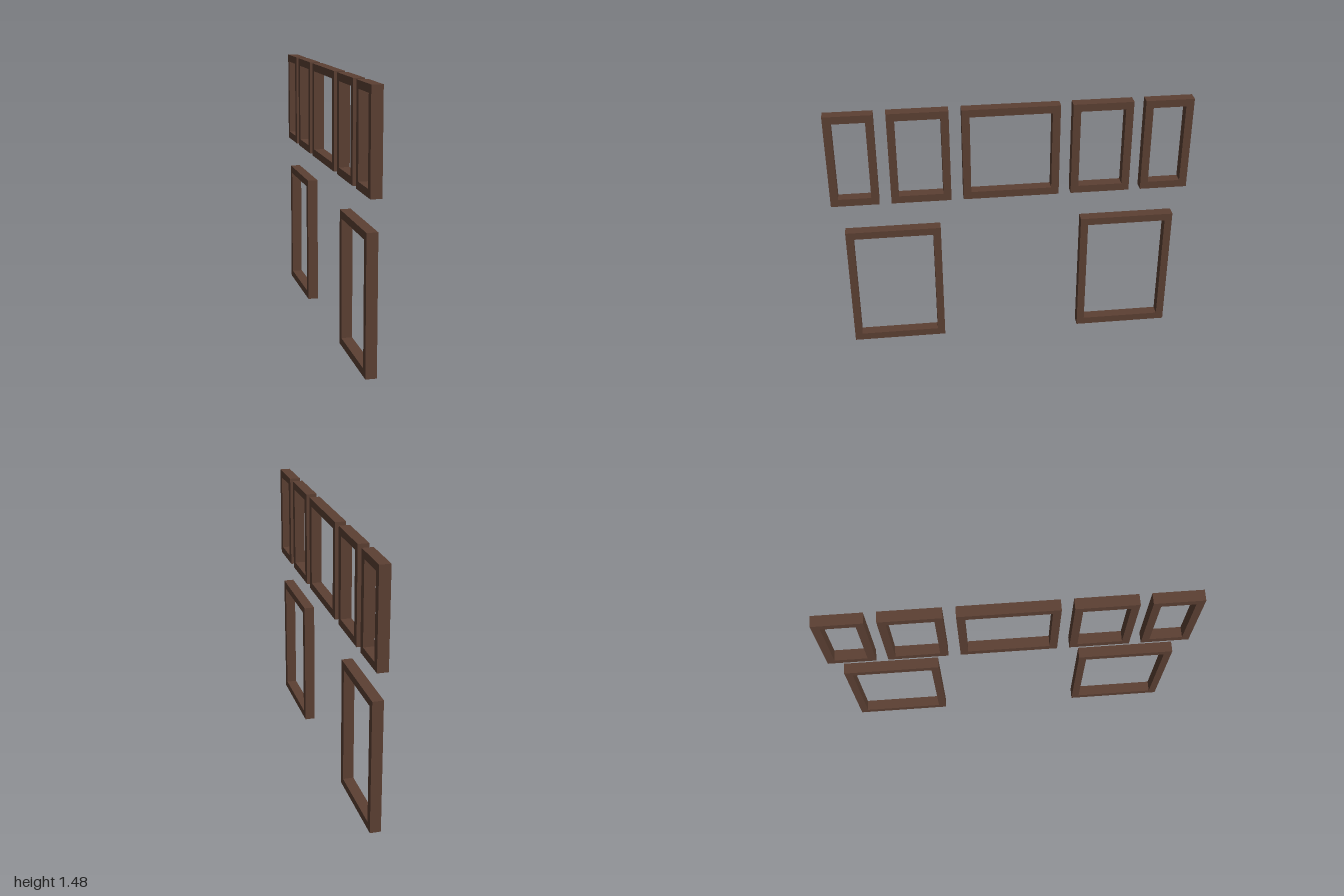
import * as THREE from 'three';

const DEPTH = 0.06;  // frame thickness along x
const BAR = 0.043;   // width of the frame members

const rect = (Type, w, h) => {
  const p = new Type();
  p.moveTo(-w / 2, -h / 2);
  p.lineTo(w / 2, -h / 2);
  p.lineTo(w / 2, h / 2);
  p.lineTo(-w / 2, h / 2);
  p.closePath();
  return p;
};

// Rectangular open frame standing in the y-z plane
function frame(name, z0, z1, y0, y1, material) {
  const w = z1 - z0, h = y1 - y0;
  const shape = rect(THREE.Shape, w, h);
  shape.holes.push(rect(THREE.Path, w - 2 * BAR, h - 2 * BAR));
  const geometry = new THREE.ExtrudeGeometry(shape, { depth: DEPTH, bevelEnabled: false });
  geometry.translate(0, 0, -DEPTH / 2);
  geometry.rotateY(Math.PI / 2);
  const mesh = new THREE.Mesh(geometry, material);
  mesh.name = name;
  mesh.position.set(0, (y0 + y1) / 2, (z0 + z1) / 2);
  return mesh;
}

export function createModel() {
  const group = new THREE.Group();
  group.name = 'windowFrames';
  const wood = new THREE.MeshStandardMaterial({ color: 0x5c4033 });

  // Middle window of the upper row
  group.add(frame('upperMiddleFrame', -0.267, 0.267, 0.932, 1.476, wood));

  // Windows mirrored front and back: name, near z, far z, bottom, top
  const pairs = [
    ['UpperInnerFrame', 0.335, 0.667, 0.932, 1.476],
    ['UpperOuterFrame', 0.733, 1.0, 0.932, 1.476],
    ['LowerFrame', 0.402, 0.938, 0, 0.753],
  ];
  for (const [name, near, far, y0, y1] of pairs) {
    group.add(frame('front' + name, near, far, y0, y1, wood));
    group.add(frame('back' + name, -far, -near, y0, y1, wood));
  }
  return group;
}
